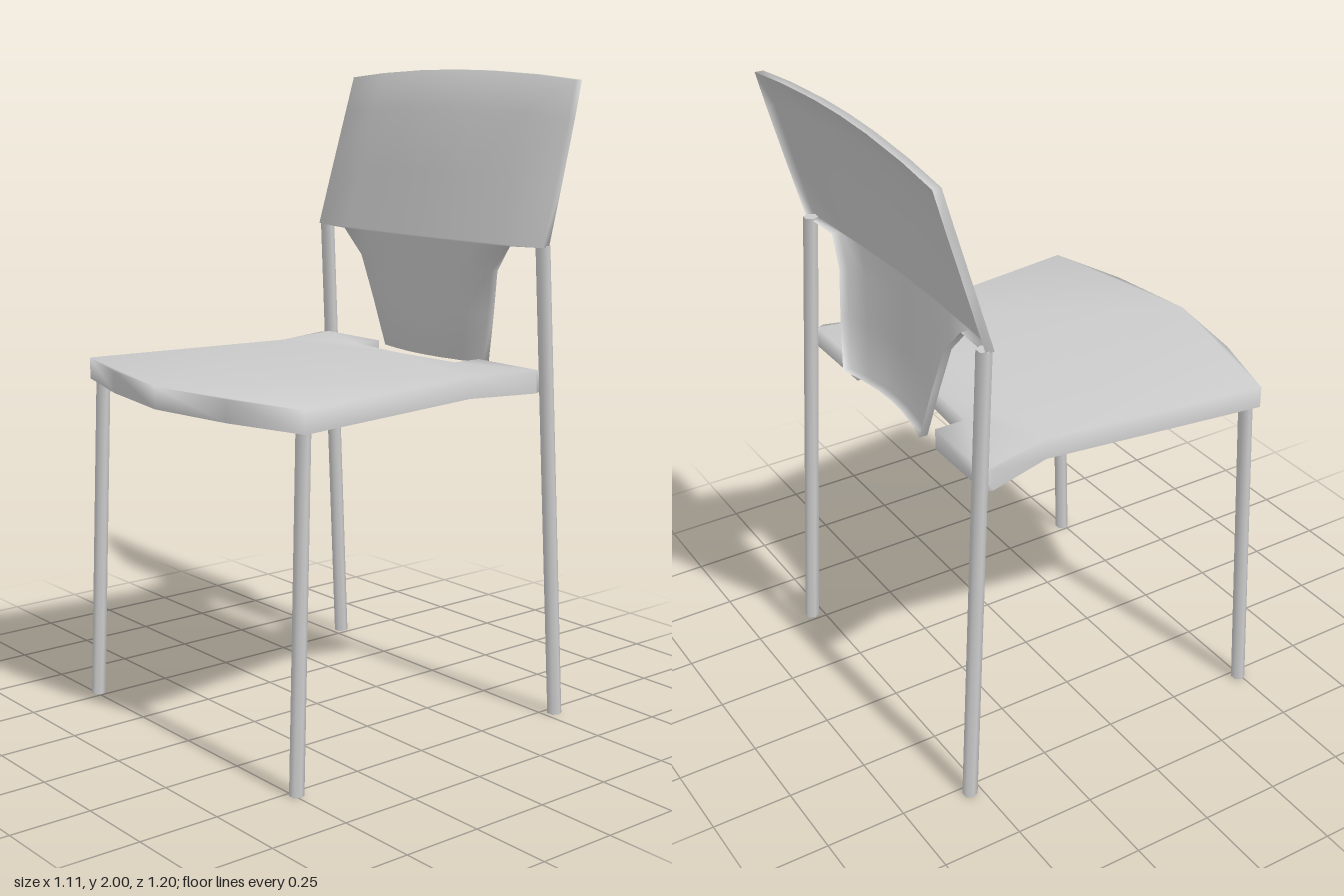
import * as THREE from 'three';
import { toCreasedNormals } from 'three/addons/utils/BufferGeometryUtils.js';

const grey = new THREE.MeshStandardMaterial({ color: 0xcccccc });
const shellGrey = new THREE.MeshStandardMaterial({ color: 0xcccccc, side: THREE.DoubleSide });

function part(name, geometry, material) {
  const mesh = new THREE.Mesh(geometry, material);
  mesh.name = name;
  return mesh;
}

// Open moulded shell: a face plus a turned-over rim along its outline.
// points: [x, y, z]; faces: corner indices; ring: outline indices, counter-clockwise
function shell(name, points, faces, ring, turn) {
  const pos = points.flat(), idx = faces.flat(), first = points.length;
  ring.forEach((v, i) => {
    pos.push(...points[v].map((c, axis) => c + turn[axis]));
    const k = (i + 1) % ring.length, w = ring[k];
    idx.push(v, first + i, first + k, v, first + k, w);
  });
  const geo = new THREE.BufferGeometry();
  geo.setAttribute('position', new THREE.Float32BufferAttribute(pos, 3));
  geo.setIndex(idx);
  geo.computeVertexNormals();
  return part(name, geo, shellGrey);
}

// Straight slim six-sided tube, cut level at both ends
function leg(name, foot, top, r) {
  const h = top[1] - foot[1];
  const geo = new THREE.CylinderGeometry(r, r, h, 6).rotateY(Math.PI / 6);
  const p = geo.attributes.position;
  for (let i = 0; i < p.count; i++) {
    const t = p.getY(i) / h + 0.5;
    p.setXYZ(i,
      p.getX(i) + foot[0] + (top[0] - foot[0]) * t,
      foot[1] + h * t,
      p.getZ(i) + foot[2] + (top[2] - foot[2]) * t);
  }
  return part(name, toCreasedNormals(geo, 1.2), grey);
}

// Seat: mirrored outline [x, z] from front centre to the rear notch, rim turned down
function seat() {
  const half = [[0, 0.6], [0.29, 0.555], [0.55, 0.48], [0.455, -0.22],
    [0.515, -0.435], [0.505, -0.46], [0.24, -0.46], [0.24, -0.36], [0, -0.345]];
  const outline = [...half, ...half.slice(1, -1).reverse().map(([x, z]) => [-x, z])];
  const faces = THREE.ShapeUtils.triangulateShape(
    outline.map(([x, z]) => new THREE.Vector2(x, -z)), []);
  return shell('seat', outline.map(([x, z]) => [x, 1.105, z]), faces,
    outline.map((_, i) => i), [0, -0.067, 0]);
}

// Backrest: bowed panel with a tongue, rim turned backward
function backrest() {
  // y, half width, z at centre, backward bow
  const rows = [
    [1.09, 0.235, -0.447, 0.18],
    [1.25, 0.275, -0.432, 0.11],
    [1.39, 0.31, -0.419, 0.06],
    [1.475, 0.38, -0.41, 0.026],
    [1.48, 0.53, -0.41, 0.025],
    [1.68, 0.526, -0.455, 0.035],
    [1.88, 0.52, -0.5, 0.045],
    [2, 0.515, -0.562, 0.013]];
  const columns = [-1, -0.68, -0.3, 0, 0.3, 0.68, 1];
  const n = columns.length, last = rows.length - 1;
  const points = [], faces = [];
  rows.forEach(([y, w, z, bow], i) => columns.forEach((u, j) => {
    const s = (u * w / 0.53) ** 2;
    points.push([u * w, y - 0.03 * s * Math.max(0, (y - 1.5) / 0.5), z - bow * s]);
    if (i < last && j < n - 1) {
      const a = i * n + j;
      faces.push([a, a + 1, a + n + 1], [a, a + n + 1, a + n]);
    }
  }));
  // Outline: bottom, right edge, top, left edge
  const ring = [];
  for (let j = 0; j < n - 1; j++) ring.push(j);
  for (let i = 0; i < last; i++) ring.push(i * n + n - 1);
  for (let j = n - 1; j > 0; j--) ring.push(last * n + j);
  for (let i = last; i > 0; i--) ring.push(i * n);
  return shell('backrest', points, faces, ring, [0, 0, -0.027]);
}

export function createModel() {
  const chair = new THREE.Group();
  chair.name = 'chair';
  chair.add(seat(), backrest());
  for (const [side, s] of [['left', 1], ['right', -1]]) {
    // Front legs end under the seat, inside its rim
    chair.add(leg(side + 'FrontLeg', [s * 0.525, 0, 0.493], [s * 0.51, 1.1, 0.454], 0.022));
    // Rear legs run past the seat and carry the backrest
    chair.add(leg(side + 'RearLeg', [s * 0.531, 0, -0.538], [s * 0.511, 1.485, -0.456], 0.023));
  }
  return chair;
}
